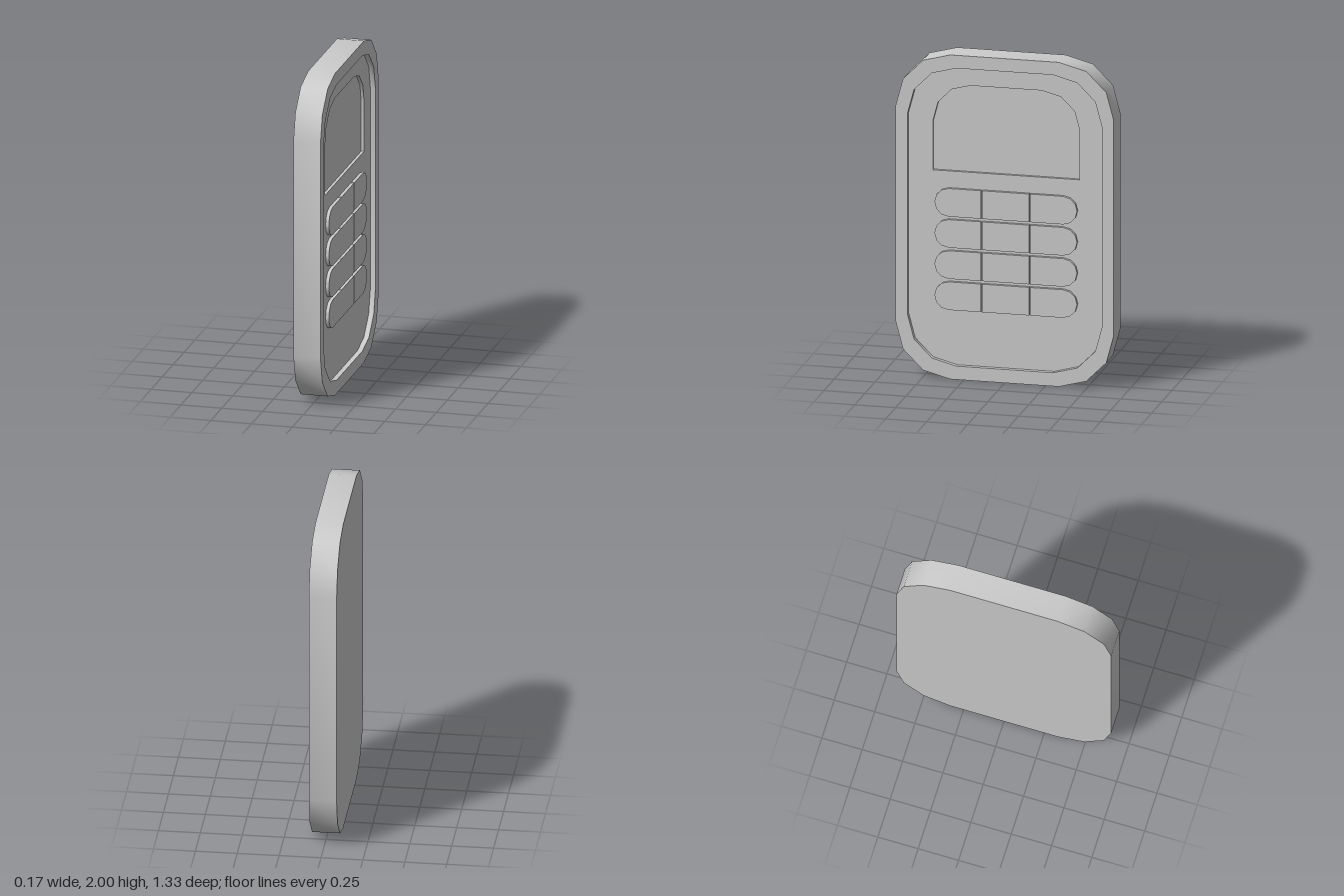
import * as THREE from 'three';
import { toCreasedNormals, mergeGeometries } from 'three/addons/utils/BufferGeometryUtils.js';

const material = new THREE.MeshStandardMaterial({ color: 0xcccccc });

// Depth levels, measured from back to front
const BACK = -0.083, FRONT = 0.083, PANEL = 0.052, SCREEN = 0.034, KEY = 0.072;

// Counter-clockwise rectangle; radii in order bottom-right, top-right, top-left, bottom-left
function outline(x0, x1, y0, y1, radii) {
  const corners = [[x1, y0, -1, 1], [x1, y1, -1, -1], [x0, y1, 1, -1], [x0, y0, 1, 1]];
  const points = [];
  corners.forEach(([x, y, sx, sy], k) => {
    const r = radii[k];
    const steps = r > 0 ? 3 : 0;
    for (let i = 0; i <= steps; i++) {
      const a = (k - 1) * Math.PI / 2 + i * Math.PI / 6;
      points.push(new THREE.Vector2(x + sx * r + r * Math.cos(a), y + sy * r + r * Math.sin(a)));
    }
  });
  return points;
}

// Wall running through a series of [outline, depth] loops
function loft(loops) {
  const pos = [];
  const put = ([points, z], i) => {
    const p = points[i % points.length];
    pos.push(p.x, p.y, z);
  };
  for (let l = 0; l < loops.length - 1; l++) {
    const a = loops[l], b = loops[l + 1];
    for (let i = 0; i < a[0].length; i++) {
      put(a, i); put(a, i + 1); put(b, i + 1);
      put(a, i); put(b, i + 1); put(b, i);
    }
  }
  const g = new THREE.BufferGeometry();
  g.setAttribute('position', new THREE.Float32BufferAttribute(pos, 3));
  return toCreasedNormals(g, 0.6);
}

// Flat face filling an outline
function face(points, z, hole) {
  const shape = new THREE.Shape(points);
  if (hole) shape.holes.push(new THREE.Path(hole));
  const g = new THREE.ShapeGeometry(shape).toNonIndexed();
  g.deleteAttribute('uv');
  return g.translate(0, 0, z);
}

export function createModel() {
  const model = new THREE.Group();
  const device = new THREE.Group();
  device.name = 'device';
  device.rotation.y = Math.PI / 2; // the keypad side looks along +x
  model.add(device);

  const add = (name, geometry, parent = device) => {
    const mesh = new THREE.Mesh(geometry, material);
    mesh.name = name;
    parent.add(mesh);
  };

  const outer = outline(-0.665, 0.665, 0, 2, Array(4).fill(0.333));
  const inner = outline(-0.593, 0.593, 0.083, 1.92, Array(4).fill(0.298));
  const window = outline(-0.445, 0.45, 1.275, 1.81, [0, 0.229, 0.229, 0]);

  // Casing: side wall, raised rim, step down to the panel and flat back
  add('casing', mergeGeometries([
    loft([[outer, BACK], [outer, FRONT], [inner, FRONT], [inner, PANEL]]),
    face(outer, 0).rotateY(Math.PI).translate(0, 0, BACK),
  ]));

  // Recessed panel with the sunken screen
  add('frontPanel', face(inner, PANEL, window));
  add('screen', mergeGeometries([
    loft([[window, PANEL], [window, SCREEN]]),
    face(window, SCREEN),
  ]));

  // Keypad: four rows of three keys, the outer ones rounded on the outside
  const keypad = new THREE.Group();
  keypad.name = 'keypad';
  device.add(keypad);
  const r = 0.086;
  const columns = [
    [-0.431, -0.148, [0, 0, r, r]],
    [-0.140, 0.146, [0, 0, 0, 0]],
    [0.153, 0.439, [r, r, 0, 0]],
  ];
  for (let row = 0; row < 4; row++) {
    const y = 0.423 + row * 0.192;
    columns.forEach(([x0, x1, radii], col) => {
      const shape = new THREE.Shape(outline(x0, x1, y, y + 0.173, radii));
      const g = new THREE.ExtrudeGeometry(shape, { depth: KEY - PANEL, bevelEnabled: false });
      add(`key${row * 3 + col + 1}`, toCreasedNormals(g.translate(0, 0, PANEL), 0.6), keypad);
    });
  }
  return model;
}
